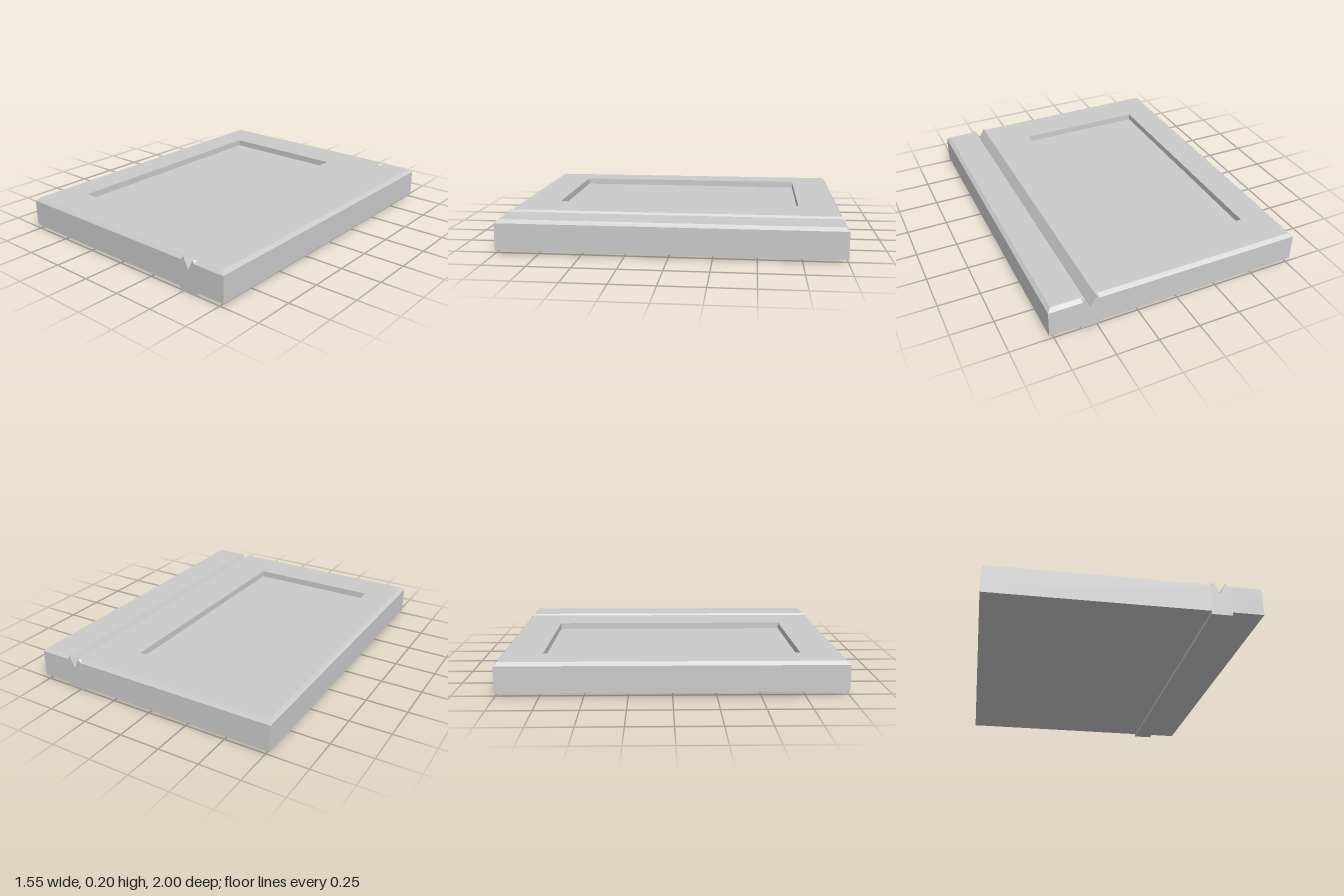
import * as THREE from 'three';
import { mergeGeometries } from 'three/addons/utils/BufferGeometryUtils.js';

const X = 0.775, Z = 1, C = 0.02;               // half width, half depth, bevel
const BASE = 0.02, EDGE = 0.18, TOP = 0.2;      // slab bottom, bevel start, top
const GROOVE = { l: 0.5, m: 0.533, r: 0.565, y: 0.135, run: 0.015 };
const RIB = { l: 0.475, r: 0.595 };
const POCKET = { l: -0.575, r: 0.24, z: 0.75, y: 0.16 };

const v2 = pts => pts.map(p => new THREE.Vector2(...p));

// Flat convex face, wound so that it looks along the given outward direction
function face(outward, ...pts) {
  const p = pts.map(q => new THREE.Vector3(...q));
  const n = p[1].clone().sub(p[0]).cross(p[2].clone().sub(p[0]));
  if (n.dot(new THREE.Vector3(...outward)) < 0) p.reverse();
  const tris = [];
  for (let i = 1; i < p.length - 1; i++) tris.push(p[0], p[i], p[i + 1]);
  const g = new THREE.BufferGeometry().setFromPoints(tris);
  g.computeVertexNormals();
  return g;
}

// Flat outline, optionally with a hole
function sheet(pts, hole) {
  const shape = new THREE.Shape(v2(pts));
  if (hole) shape.holes.push(new THREE.Path(v2(hole)));
  const g = new THREE.ShapeGeometry(shape).toNonIndexed();
  g.deleteAttribute('uv');
  return g;
}

// Strip running the full depth between two points of the end profile
const strip = (outward, [x1, y1], [x2, y2], z = Z) =>
  face(outward, [x1, y1, z], [x2, y2, z], [x2, y2, -z], [x1, y1, -z]);

export function createModel() {
  const group = new THREE.Group();
  const add = (name, parts) => {
    const material = new THREE.MeshStandardMaterial({ color: 0xcccccc, flatShading: true });
    const mesh = new THREE.Mesh(mergeGeometries(parts), material);
    mesh.name = name;
    group.add(mesh);
  };

  // End walls, with the groove notch and the rib underneath
  const profile = [
    [-X, BASE], [RIB.l, BASE], [RIB.l, 0], [RIB.r, 0], [RIB.r, BASE], [X, BASE], [X, EDGE],
    [GROOVE.r + GROOVE.run, EDGE], [GROOVE.r, TOP], [GROOVE.m, GROOVE.y],
    [GROOVE.l, TOP], [GROOVE.l - GROOVE.run, EDGE], [-X, EDGE],
  ];
  add('endWalls', [
    sheet(profile).translate(0, 0, Z),
    sheet(profile.map(([x, y]) => [-x, y])).rotateY(Math.PI).translate(0, 0, -Z),
  ]);

  // Long side walls and underside
  add('sideWalls', [-1, 1].map(s => strip([s, 0, 0], [s * X, BASE], [s * X, EDGE])));
  add('underside', [
    strip([0, -1, 0], [-X, BASE], [RIB.l, BASE]),
    strip([0, -1, 0], [RIB.r, BASE], [X, BASE]),
  ]);
  add('bottomRib', [
    strip([-1, 0, 0], [RIB.l, BASE], [RIB.l, 0]),
    strip([0, -1, 0], [RIB.l, 0], [RIB.r, 0]),
    strip([1, 0, 0], [RIB.r, 0], [RIB.r, BASE]),
  ]);

  // Top faces on both sides of the groove, with bevelled rims
  const pocketOutline = [
    [POCKET.l, -POCKET.z], [POCKET.r, -POCKET.z], [POCKET.r, POCKET.z], [POCKET.l, POCKET.z],
  ];
  const tops = [], bevels = [];
  for (const [s, g, hole] of [[-1, GROOVE.l, pocketOutline], [1, GROOVE.r, null]]) {
    const xo = s * X, xi = s * (X - C), e = g + s * GROOVE.run, zi = Z - C;
    tops.push(sheet([[xi, zi], [e, zi], [g, Z], [g, -Z], [e, -zi], [xi, -zi]], hole)
      .rotateX(-Math.PI / 2).translate(0, TOP, 0));
    bevels.push(face([s, 1, 0], [xo, EDGE, Z], [xi, TOP, zi], [xi, TOP, -zi], [xo, EDGE, -Z]));
    for (const k of [-1, 1]) {
      bevels.push(
        face([0, 1, k], [xo, EDGE, k * Z], [xi, TOP, k * zi], [e, TOP, k * zi], [e, EDGE, k * Z]),
        // Bevel runs out to full height beside the groove
        face([s, 1, k], [e, TOP, k * zi], [g, TOP, k * Z], [e, EDGE, k * Z]),
      );
    }
  }
  add('topFaces', tops);
  add('topBevels', bevels);

  // V groove
  add('groove', [
    strip([1, 1, 0], [GROOVE.l, TOP], [GROOVE.m, GROOVE.y]),
    strip([-1, 1, 0], [GROOVE.m, GROOVE.y], [GROOVE.r, TOP]),
  ]);

  // Sunken rectangular panel
  const { l, r, z, y } = POCKET;
  add('recessedPanel', [
    strip([0, 1, 0], [l, y], [r, y], z),
    strip([1, 0, 0], [l, y], [l, TOP], z),
    strip([-1, 0, 0], [r, y], [r, TOP], z),
    ...[-1, 1].map(k =>
      face([0, 0, -k], [l, y, k * z], [r, y, k * z], [r, TOP, k * z], [l, TOP, k * z])),
  ]);

  return group;
}
